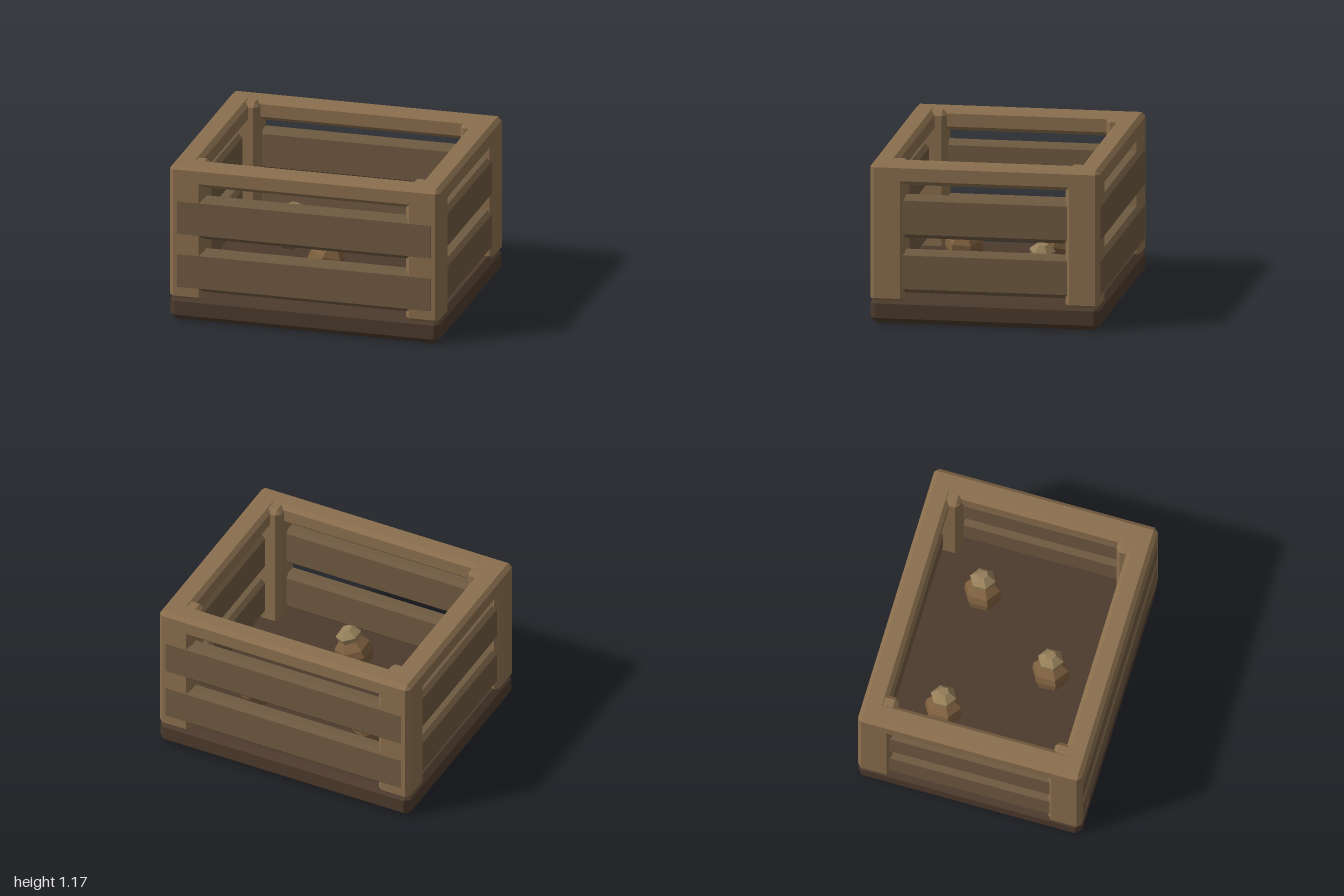
import * as THREE from 'three';
import { ConvexGeometry } from 'three/addons/geometries/ConvexGeometry.js';

const material = (color) => new THREE.MeshStandardMaterial({ color, flatShading: true });

// Box with chamfered edges and corners, given by its min and max corners
function chamferBox(name, min, max, bevel, mat) {
  const half = min.map((v, i) => (max[i] - v) / 2);
  const points = [];
  for (const sx of [-1, 1]) for (const sy of [-1, 1]) for (const sz of [-1, 1])
    for (let axis = 0; axis < 3; axis++) {
      const c = [sx, sy, sz].map((s, i) => s * (half[i] - (i === axis ? 0 : bevel)));
      points.push(new THREE.Vector3(...c));
    }
  const mesh = new THREE.Mesh(new ConvexGeometry(points), mat);
  mesh.position.set(...min.map((v, i) => (v + max[i]) / 2));
  mesh.name = name;
  return mesh;
}

// Six-sided surface of revolution
function hexLathe(name, profile, mat) {
  const points = profile.map(([r, y]) => new THREE.Vector2(r, y));
  const mesh = new THREE.Mesh(new THREE.LatheGeometry(points, 6), mat);
  mesh.name = name;
  return mesh;
}

export function createModel() {
  const crate = new THREE.Group();
  crate.name = 'crate';
  const frameMat = material(0x8b6f4e);
  const slatMat = material(0x6f5a41);
  const baseMat = material(0x4c3a2d);
  const bodyMat = material(0x7d5f3e);
  const capMat = material(0x96805a);

  // Floor slab
  crate.add(chamferBox('base', [-1, 0, -0.83], [1, 0.185, 0.83], 0.04, baseMat));

  // Corner posts
  for (const sx of [-1, 1]) for (const sz of [-1, 1]) {
    const post = chamferBox('cornerPost', [0.75, 0.155, 0.58], [1, 1.165, 0.83], 0.03, frameMat);
    post.position.x *= sx;
    post.position.z *= sz;
    crate.add(post);
  }

  // Top rails and two rows of slats on each wall
  for (const s of [-1, 1]) {
    const rail = chamferBox('longRail', [-1, 1.015, 0.66], [1, 1.17, 0.83], 0.03, frameMat);
    rail.position.z *= s;
    const sideRail = chamferBox('sideRail', [0.82, 1.015, -0.8], [1, 1.17, 0.8], 0.03, frameMat);
    sideRail.position.x *= s;
    crate.add(rail, sideRail);
    for (const y of [0.225, 0.625]) {
      const slat = chamferBox('longSlat', [-0.97, y, 0.7], [0.97, y + 0.305, 0.831], 0.03, slatMat);
      slat.position.z *= s;
      const sideSlat = chamferBox('sideSlat', [0.86, y, -0.77], [0.985, y + 0.305, 0.77], 0.03, slatMat);
      sideSlat.position.x *= s;
      crate.add(slat, sideSlat);
    }
  }

  // Three leaning six-sided flasks
  for (const [x, y, z] of [[-0.48, 0.215, -0.335], [0.45, 0.215, -0.315], [-0.015, 0.26, 0.325]]) {
    const flask = new THREE.Group();
    flask.name = 'flask';
    flask.add(
      hexLathe('flaskBody', [[0, 0], [0.09, 0], [0.115, 0.03], [0.14, 0.11], [0.13, 0.17], [0.06, 0.25]], bodyMat),
      hexLathe('flaskCap', [[0, 0.23], [0.085, 0.23], [0.095, 0.27], [0.04, 0.32], [0, 0.32]], capMat),
    );
    flask.position.set(x, y, z);
    flask.rotation.set(-0.09, 0, -0.26);
    crate.add(flask);
  }
  return crate;
}
